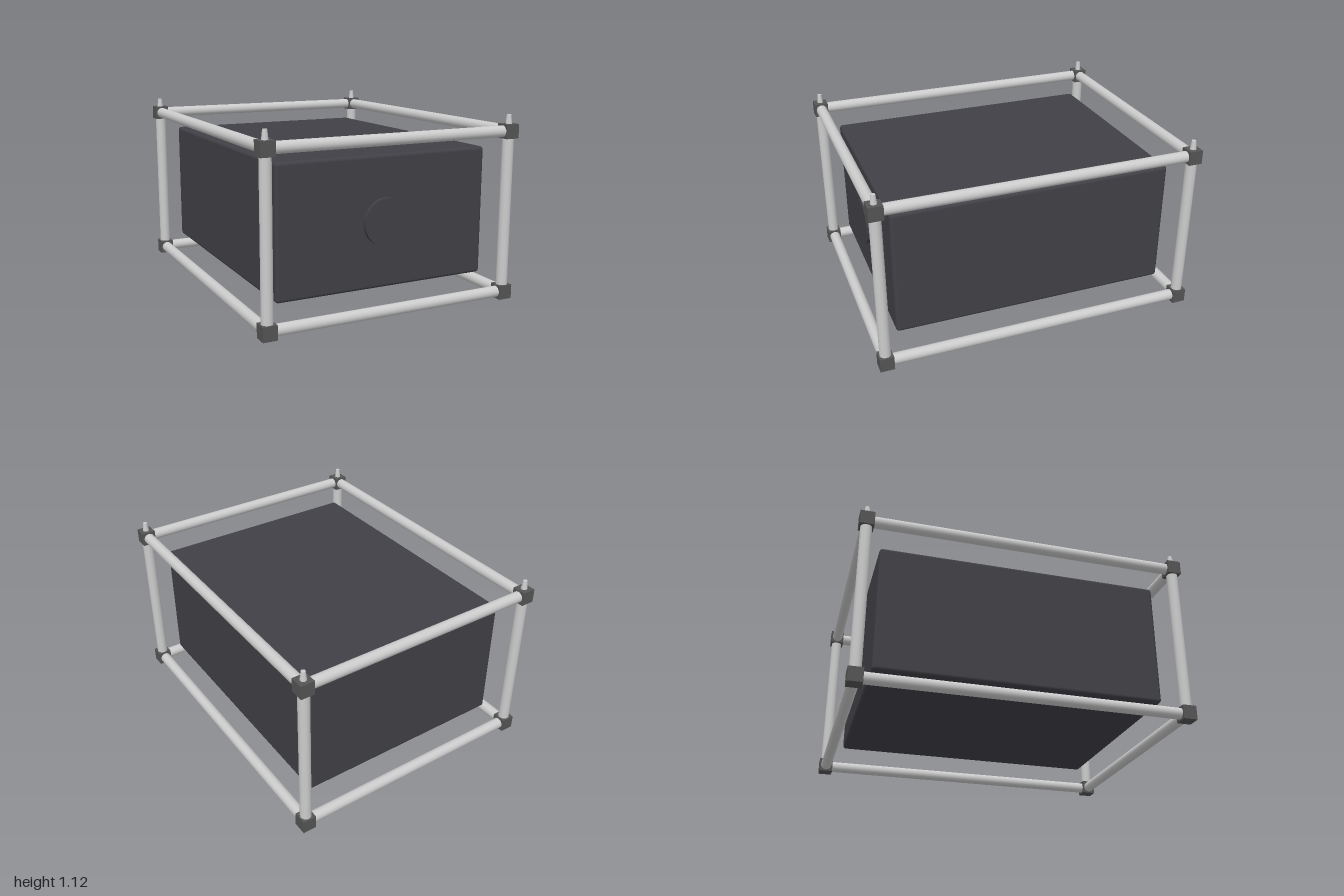
import * as THREE from 'three';
import { RoundedBoxGeometry } from 'three/addons/geometries/RoundedBoxGeometry.js';

const X = 0.77, Z = 0.9575, Y0 = 0.0425, Y1 = 1.018; // frame corner centres
const BLOCK = 0.085, ROD_RADIUS = 0.034;

export function createModel() {
  const model = new THREE.Group();
  const rodMat = new THREE.MeshStandardMaterial({ color: 0xcccccc });
  const blockMat = new THREE.MeshStandardMaterial({ color: 0x555555 });
  const bodyMat = new THREE.MeshStandardMaterial({ color: 0x414046 });

  const add = (name, geometry, material, x, y, z) => {
    const mesh = new THREE.Mesh(geometry, material);
    mesh.name = name;
    mesh.position.set(x, y, z);
    model.add(mesh);
    return mesh;
  };

  // Enclosed body with softened edges
  add('body', new RoundedBoxGeometry(1.35, 0.775, 1.72, 4, 0.02), bodyMat, 0, 0.5325, 0);

  // Round cover on the front face
  const cover = add('frontCover', new THREE.CylinderGeometry(0.14, 0.14, 0.04, 48), bodyMat, 0, 0.535, 0.865);
  cover.rotation.x = Math.PI / 2;

  // Frame rods, running between the corner blocks
  const rod = (length) => new THREE.CylinderGeometry(ROD_RADIUS, ROD_RADIUS, length, 24);
  const postGeo = rod(Y1 - Y0), crossGeo = rod(2 * X), sideGeo = rod(2 * Z);
  for (const s of [-1, 1]) {
    for (const y of [Y0, Y1]) {
      add('crossRod', crossGeo, rodMat, 0, y, s * Z).rotation.z = Math.PI / 2;
      add('sideRod', sideGeo, rodMat, s * X, y, 0).rotation.x = Math.PI / 2;
    }
  }

  // Corner posts, blocks and tapered locating pins
  const blockGeo = new THREE.BoxGeometry(BLOCK, BLOCK, BLOCK);
  const pinGeo = new THREE.CylinderGeometry(0.013, 0.02, 0.06, 20);
  for (const sx of [-1, 1]) {
    for (const sz of [-1, 1]) {
      add('cornerPost', postGeo, rodMat, sx * X, (Y0 + Y1) / 2, sz * Z);
      for (const y of [Y0, Y1]) add('cornerBlock', blockGeo, blockMat, sx * X, y, sz * Z);
      add('locatingPin', pinGeo, rodMat, sx * X, 1.085, sz * Z);
    }
  }
  return model;
}
